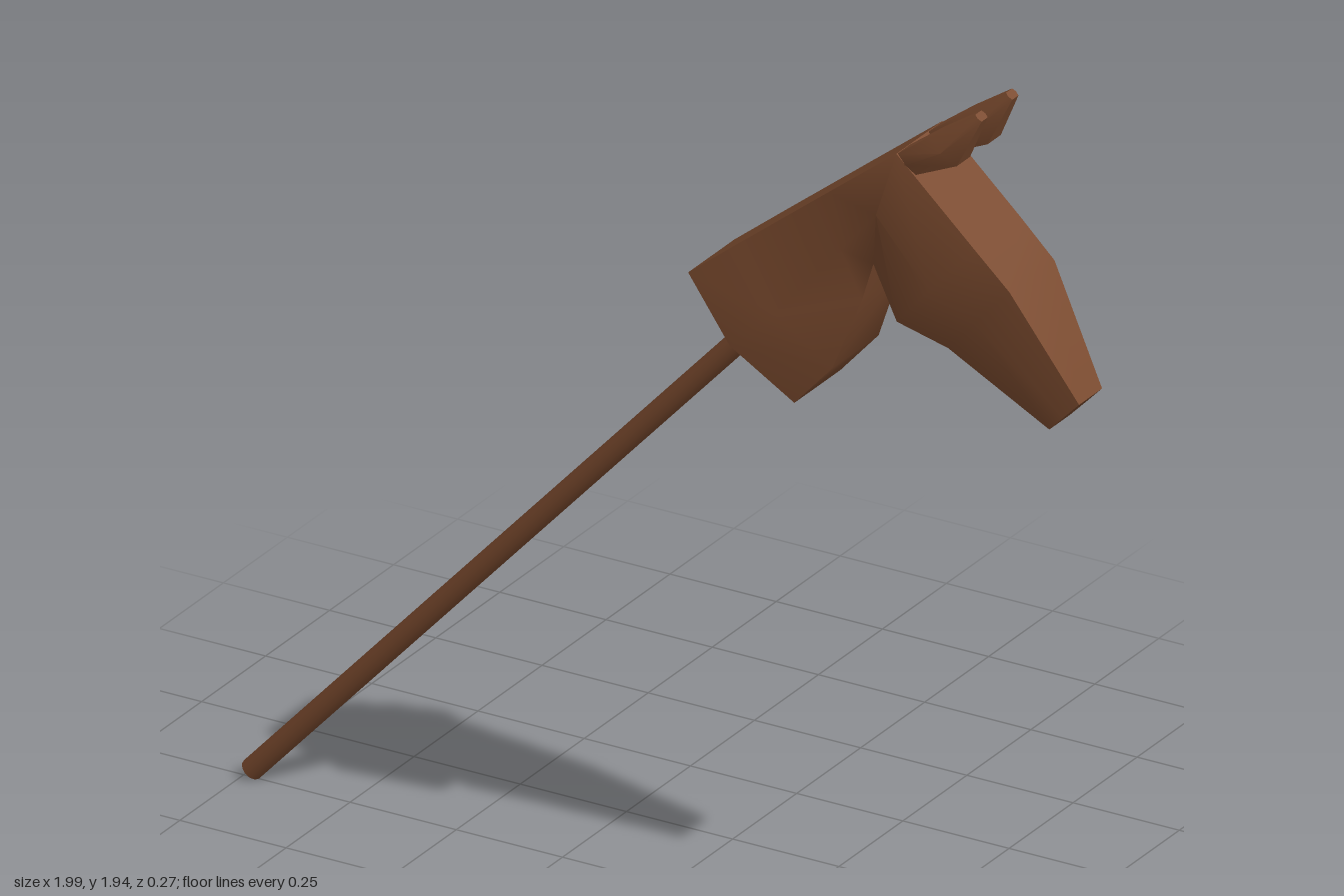
import * as THREE from 'three';
import { toCreasedNormals } from 'three/addons/utils/BufferGeometryUtils.js';

// Closed loft through six-sided sections.
// Section: [topX, topY, bottomX, bottomY, topHalfWidth, midHalfWidth, bottomHalfWidth]
function loft(sections) {
  const pos = [], index = [], n = 6;
  for (const [tx, ty, bx, by, wt, wm, wb] of sections) {
    const mx = (tx + bx) / 2, my = (ty + by) / 2;
    pos.push(tx, ty, wt, mx, my, wm, bx, by, wb, bx, by, -wb, mx, my, -wm, tx, ty, -wt);
  }
  const last = (sections.length - 1) * n;
  for (let i = 0; i < last; i += n) {
    for (let j = 0; j < n; j++) {
      const k = (j + 1) % n;
      index.push(i + j, i + k, i + n + k, i + j, i + n + k, i + n + j);
    }
  }
  for (let k = 1; k < n - 1; k++) {
    index.push(0, k + 1, k, last, last + k, last + k + 1);
  }
  const geometry = new THREE.BufferGeometry();
  geometry.setAttribute('position', new THREE.Float32BufferAttribute(pos, 3));
  geometry.setIndex(index);
  return toCreasedNormals(geometry, 0.7);
}

export function createModel() {
  const group = new THREE.Group();
  const wood = new THREE.MeshStandardMaterial({ color: 0x7a4a2e });
  const add = (name, geometry) => {
    const mesh = new THREE.Mesh(geometry, wood);
    mesh.name = name;
    group.add(mesh);
    return mesh;
  };

  // Neck and head: from the neck's cut end, over the poll, down to the muzzle
  add('head', loft([
    [0.10, 1.43, 0.35, 1.20, 0.09, 0.135, 0.09],
    [0.22, 1.525, 0.44, 1.30, 0.09, 0.135, 0.09],
    [0.43, 1.69, 0.50, 1.46, 0.09, 0.10, 0.075],
    [0.59, 1.815, 0.53, 1.55, 0.09, 0.12, 0.08],
    [0.775, 1.645, 0.585, 1.435, 0.09, 0.115, 0.08],
    [0.855, 1.57, 0.70, 1.40, 0.088, 0.095, 0.07],
    [0.993, 1.335, 0.92, 1.26, 0.045, 0.047, 0.04],
  ]));

  // Ears
  for (const side of [1, -1]) {
    const ear = add(side > 0 ? 'rightEar' : 'leftEar', loft([
      [0.585, 1.81, 0.63, 1.775, 0.025, 0.03, 0.025],
      [0.67, 1.873, 0.73, 1.82, 0.026, 0.042, 0.026],
      [0.765, 1.938, 0.78, 1.926, 0.012, 0.015, 0.012],
    ]));
    ear.position.z = side * 0.06;
  }

  // Stick, running up into the neck
  const start = new THREE.Vector3(-0.982, 0.018, 0);
  const end = new THREE.Vector3(0.27, 1.37, 0);
  const axis = end.clone().sub(start);
  const rod = new THREE.CylinderGeometry(0.024, 0.024, axis.length(), 12);
  const stick = add('stick', rod);
  stick.position.copy(start).add(end).multiplyScalar(0.5);
  stick.quaternion.setFromUnitVectors(new THREE.Vector3(0, 1, 0), axis.normalize());

  return group;
}
